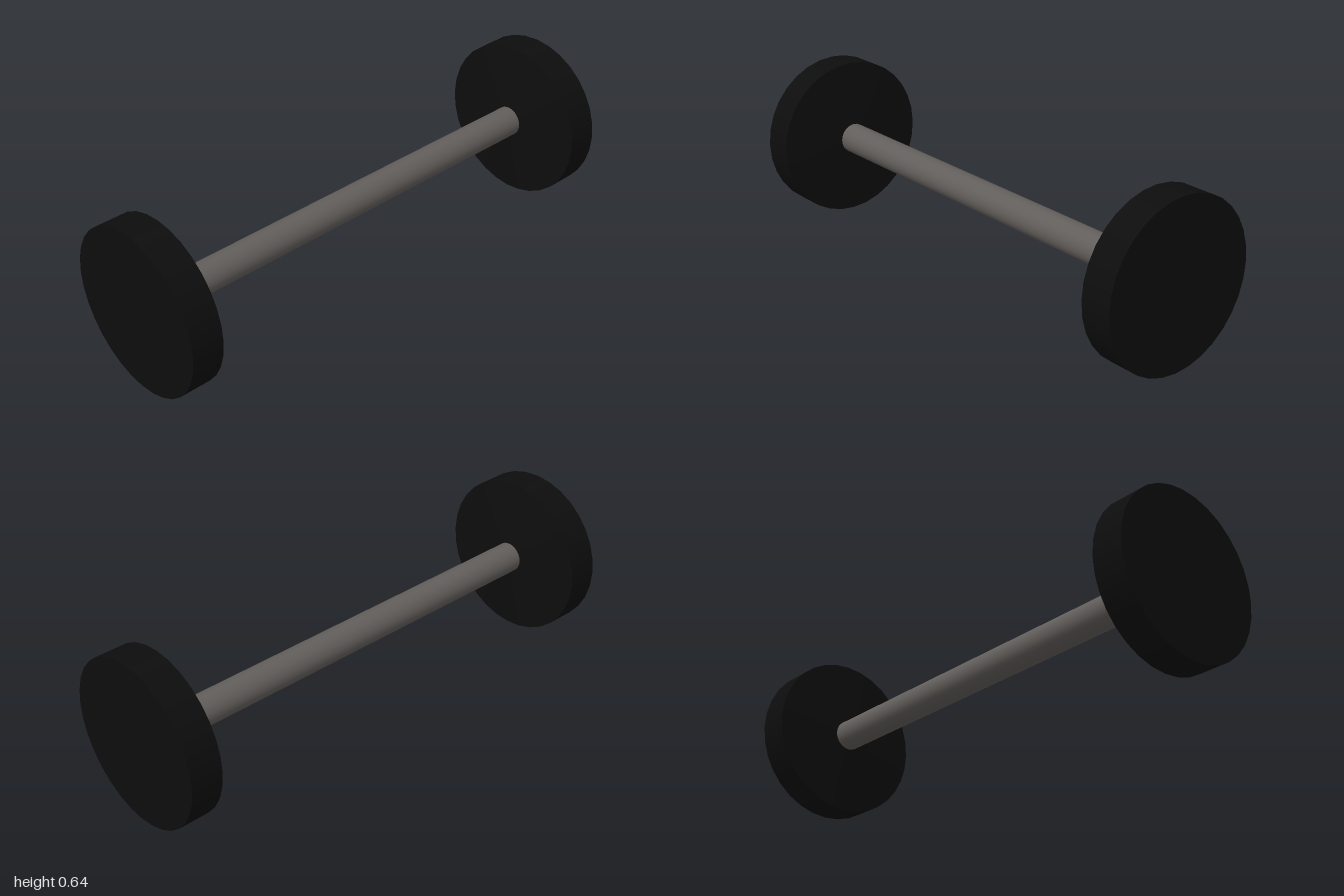
import * as THREE from 'three';

const RADIUS = 0.318, SIDES = 32, AXLE_RADIUS = 0.06;

// Cylinder or frustum lying along z, from z0 (radius r0) to z1 (radius r1)
function roundPart(name, r0, r1, z0, z1, material, open = false) {
  const geometry = new THREE.CylinderGeometry(r1, r0, z1 - z0, SIDES, 1, open);
  geometry.rotateX(Math.PI / 2).translate(0, 0, (z0 + z1) / 2);
  const mesh = new THREE.Mesh(geometry, material);
  mesh.name = name;
  return mesh;
}

export function createModel() {
  const model = new THREE.Group();
  model.name = 'wheelsAndAxle';
  const rubber = new THREE.MeshStandardMaterial({ color: 0x0d0d0d });
  const metal = new THREE.MeshStandardMaterial({ color: 0x625e5b });

  // Axle running between the wheels
  const axle = roundPart('axle', AXLE_RADIUS, AXLE_RADIUS, -0.87, 0.87, metal);
  axle.position.y = RADIUS;
  model.add(axle);

  // Two mirrored wheels: flat outside, shallow cone on the inner face
  for (const [name, turn] of [['frontWheel', 0], ['backWheel', Math.PI]]) {
    const wheel = new THREE.Group();
    wheel.name = name;
    wheel.add(roundPart('tyre', RADIUS, RADIUS, 0.875, 1, rubber));
    wheel.add(roundPart('innerCone', AXLE_RADIUS, RADIUS, 0.855, 0.875, rubber, true));
    wheel.position.y = RADIUS;
    wheel.rotation.y = turn;
    model.add(wheel);
  }
  return model;
}
